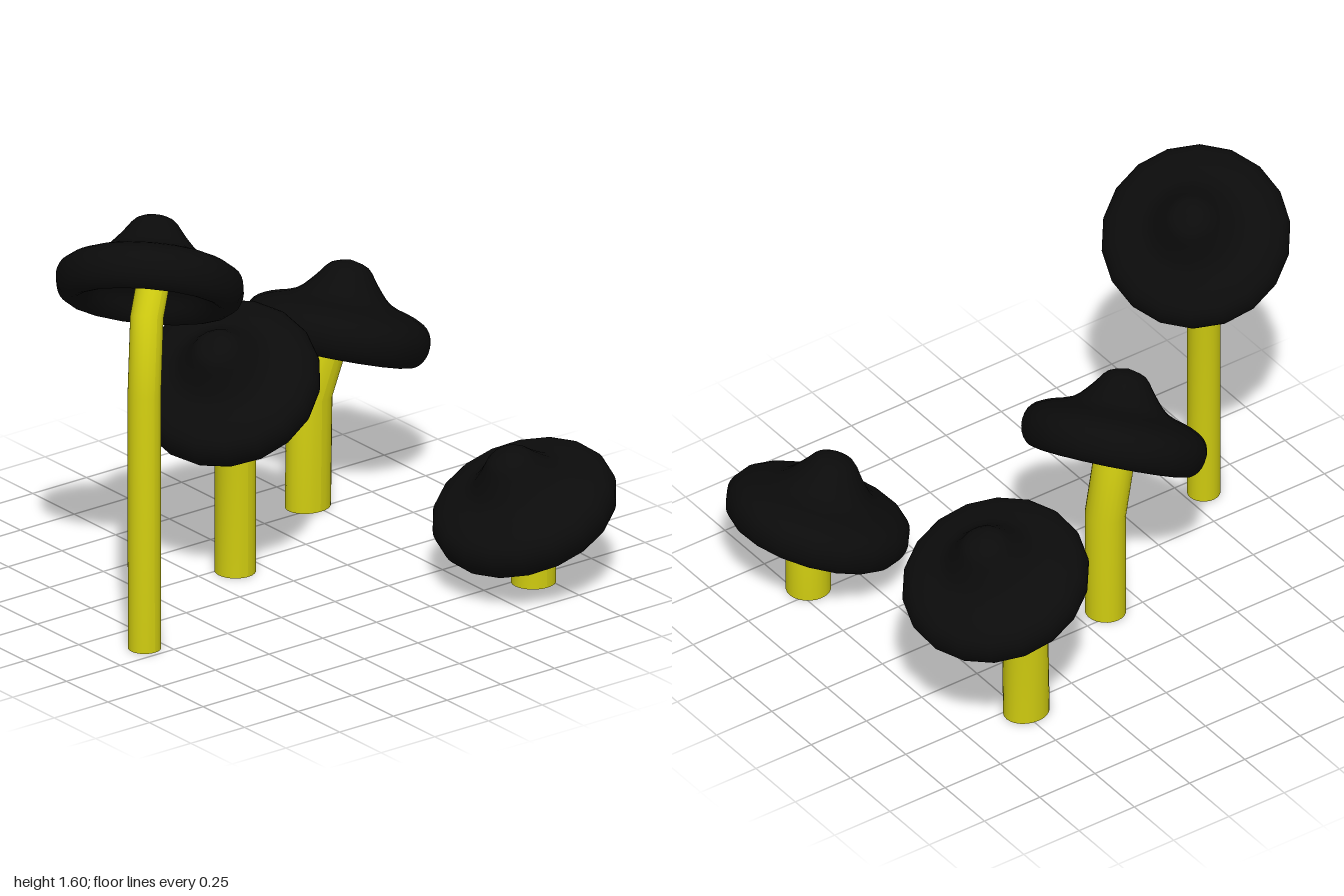
import * as THREE from 'three';

const UP = new THREE.Vector3(0, 1, 0);
const capMaterial = new THREE.MeshStandardMaterial({ color: 0x0b0b0b });
const stemMaterial = new THREE.MeshStandardMaterial({ color: 0xd0cc10 });

// Cap cross-section: hollow underside, thick rolled brim, central knob
function capGeometry() {
  const profile = new THREE.SplineCurve([
    [0, 0.06], [0.12, 0.05], [0.2, 0.01], [0.24, -0.05], [0.29, -0.08], [0.335, -0.05],
    [0.352, 0.01], [0.33, 0.065], [0.27, 0.1], [0.18, 0.13], [0.12, 0.19], [0.07, 0.25], [0, 0.27],
  ].map(([x, y]) => new THREE.Vector2(x, y)));
  const points = profile.getPoints(36).map((p) => new THREE.Vector2(Math.max(p.x, 0), p.y));
  return new THREE.LatheGeometry(points, 18);
}

// Stem: a cylinder whose rings are moved onto a bent centre line
function stemGeometry(path, rx, rz) {
  const n = path.length - 1;
  const centres = path.map((p) => new THREE.Vector3(...p));
  const turns = centres.map((c, i) => {
    const dir = centres[Math.min(i + 1, n)].clone().sub(centres[Math.max(i - 1, 0)]).normalize();
    return new THREE.Quaternion().setFromUnitVectors(UP, i === 0 ? UP : dir);
  });
  const geometry = new THREE.CylinderGeometry(1, 1, n, 24, n);
  const pos = geometry.attributes.position;
  const v = new THREE.Vector3();
  for (let i = 0; i < pos.count; i++) {
    const ring = Math.round(pos.getY(i) + n / 2);
    v.set(pos.getX(i) * rx, 0, pos.getZ(i) * rz).applyQuaternion(turns[ring]).add(centres[ring]);
    pos.setXYZ(i, v.x, v.y, v.z);
  }
  geometry.computeVertexNormals();
  return geometry;
}

// Each mushroom: cap centre, direction the cap faces, stem centre line and radii
const mushrooms = [
  {
    name: 'tallMushroom', centre: [-0.67, 1.35, 0], facing: [0.42, 0.81, -0.41], radii: [0.062, 0.062],
    path: [[-0.825, 0, 0.17], [-0.815, 1, 0.155], [-0.745, 1.27, 0.08], [-0.66, 1.43, 0.025]],
  },
  {
    name: 'middleMushroom', centre: [-0.155, 0.76, -0.2], facing: [-0.47, 0.82, 0.32], radii: [0.076, 0.078],
    path: [[-0.11, 0, -0.21], [-0.11, 0.45, -0.21], [-0.145, 0.66, -0.21], [-0.19, 0.83, -0.205]],
  },
  {
    name: 'backMushroom', centre: [0.62, 0.66, -0.54], facing: [0.33, 0.93, -0.12], radii: [0.09, 0.077],
    path: [[0.483, 0, -0.54], [0.49, 0.44, -0.54], [0.555, 0.61, -0.54], [0.62, 0.74, -0.54]],
  },
  {
    name: 'shortMushroom', centre: [0.66, 0.3, 0.54], facing: [-0.36, 0.93, 0.04], radii: [0.085, 0.083],
    path: [[0.7, 0, 0.54], [0.7, 0.18, 0.54], [0.675, 0.28, 0.54], [0.635, 0.38, 0.54]],
  },
];

export function createModel() {
  const model = new THREE.Group();
  model.name = 'mushrooms';
  const capShape = capGeometry();
  for (const { name, centre, facing, radii, path } of mushrooms) {
    const group = new THREE.Group();
    group.name = name;

    const cap = new THREE.Mesh(capShape, capMaterial);
    cap.name = 'cap';
    cap.position.set(...centre);
    cap.quaternion.setFromUnitVectors(UP, new THREE.Vector3(...facing).normalize());

    const stem = new THREE.Mesh(stemGeometry(path, ...radii), stemMaterial);
    stem.name = 'stem';

    group.add(cap, stem);
    model.add(group);
  }
  return model;
}
